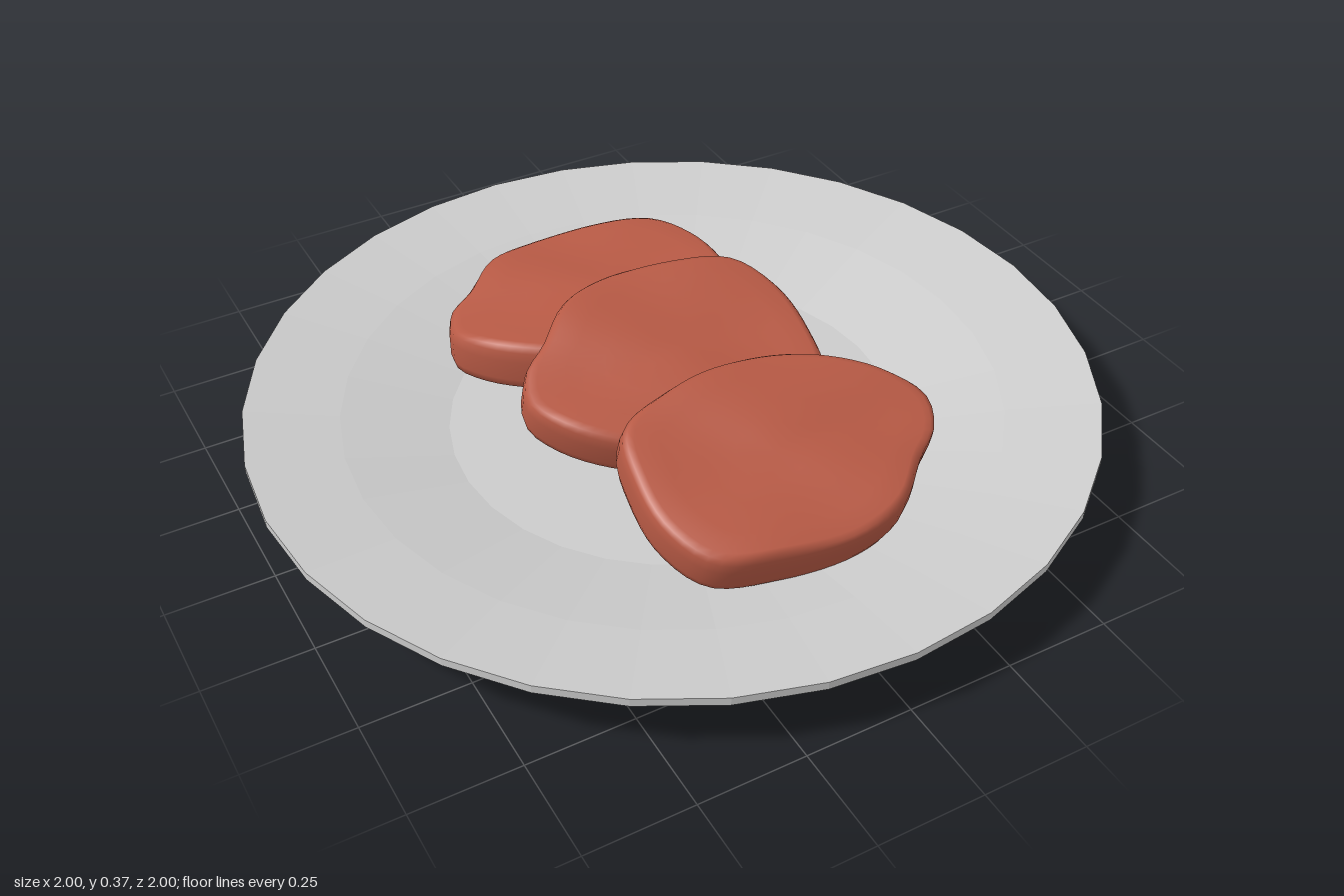
import * as THREE from 'three';
import { mergeVertices } from 'three/addons/utils/BufferGeometryUtils.js';

const plateGrey = new THREE.MeshStandardMaterial({ color: 0xcccccc, flatShading: true });
plateGrey.name = 'plateGrey';
const meatRed = new THREE.MeshStandardMaterial({ color: 0xb85a45 });
meatRed.name = 'meatRed';

// Outline of a slice seen from above (x, z), counter-clockwise
const outline = new THREE.CatmullRomCurve3([
  [0.41, -0.01], [0.37, -0.09], [0.28, -0.17], [0.16, -0.23], [0, -0.255], [-0.15, -0.235],
  [-0.28, -0.18], [-0.315, -0.05], [-0.31, 0.08], [-0.25, 0.19], [-0.1, 0.235], [0.08, 0.25],
  [0.21, 0.215], [0.31, 0.125], [0.38, 0.07],
].map(([x, z]) => new THREE.Vector3(x, 0, z)), true);

// Rings from bottom centre to top centre: [scale, height]
const RINGS = [
  [0, -0.06], [0.5, -0.06], [0.93, -0.06], [0.985, -0.05], [1, -0.03], [1, 0.02],
  [0.99, 0.045], [0.965, 0.058], [0.92, 0.064], [0.75, 0.064], [0.5, 0.064], [0.25, 0.064], [0, 0.064],
];

// Soft bumps and a shallow valley across the top
function bump(x, z) {
  return 0.006 * Math.sin(9 * x + 1) * Math.cos(8 * z)
    - 0.008 * Math.exp(-((z / 0.07) ** 2)) * (0.5 + x)
    + 0.004 * Math.sin(17 * x - 11 * z);
}

function sliceGeometry() {
  const n = 64, pos = [], idx = [];
  const pts = outline.getSpacedPoints(n).slice(0, n);
  RINGS.forEach(([s, h], r) => pts.forEach((p) => {
    const x = p.x * s, z = p.z * s;
    pos.push(x, h + (r > 6 ? bump(x, z) : 0), z);
  }));
  for (let r = 0; r < RINGS.length - 1; r++) {
    for (let i = 0; i < n; i++) {
      const j = (i + 1) % n;
      const a = r * n + i, b = r * n + j, c = b + n, d = a + n;
      if (r > 0) idx.push(a, b, c);
      else idx.push(a, c, d);
      if (r > 0 && r < RINGS.length - 2) idx.push(a, c, d);
    }
  }
  let geo = new THREE.BufferGeometry();
  geo.setAttribute('position', new THREE.Float32BufferAttribute(pos, 3));
  geo.setIndex(idx);
  geo = mergeVertices(geo, 1e-5);
  geo.computeVertexNormals();
  return geo;
}

export function createModel() {
  const model = new THREE.Group();
  model.name = 'plateOfMeat';

  // Plate with a foot ring and a sloping two-step rim
  const profile = [
    [0, 0.03], [0.47, 0.03], [0.47, 0], [0.565, 0], [0.565, 0.06], [1, 0.145], [1, 0.165],
    [0.78, 0.13], [0.53, 0.075], [0, 0.075],
  ].map(([r, y]) => new THREE.Vector2(r, y));
  const plate = new THREE.Mesh(new THREE.LatheGeometry(profile, 32), plateGrey);
  plate.name = 'plate';
  model.add(plate);

  // Three overlapping slices; the front one is turned half round
  const geo = sliceGeometry();
  const slices = [
    { name: 'backSlice', pos: [0, 0.18, -0.35], tilt: 0, turn: Math.PI, scale: [1, 1.05, 1.02] },
    { name: 'middleSlice', pos: [0.01, 0.238, 0.025], tilt: 0.3, turn: Math.PI, scale: [0.98, 1, 1.04] },
    { name: 'frontSlice', pos: [0, 0.226, 0.436], tilt: 0.33, turn: 0, scale: [1, 1, 1] },
  ];
  for (const s of slices) {
    const mesh = new THREE.Mesh(geo, meatRed);
    mesh.name = s.name;
    mesh.position.set(...s.pos);
    mesh.rotation.set(s.tilt, s.turn, 0);
    mesh.scale.set(...s.scale);
    model.add(mesh);
  }
  return model;
}
